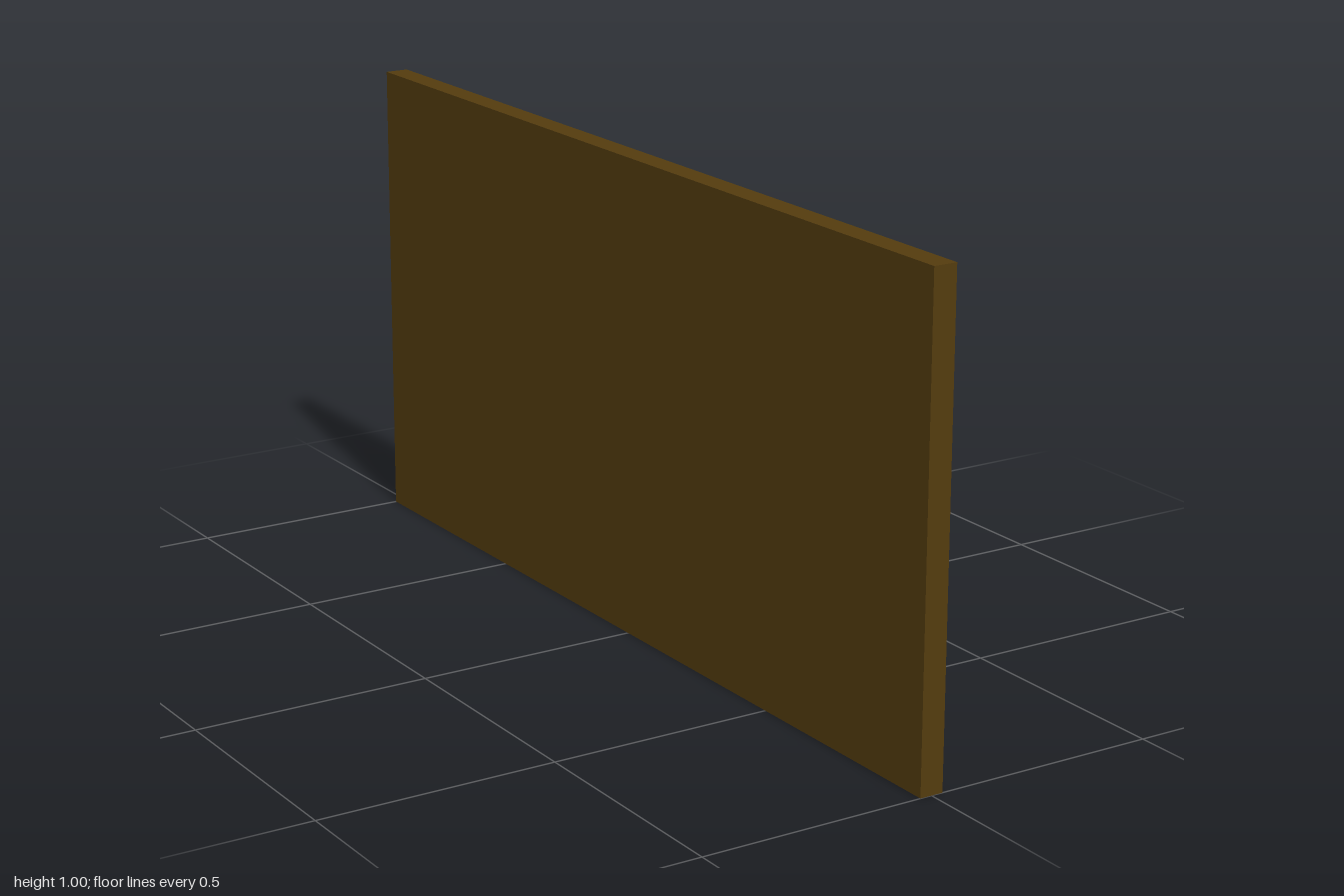
import * as THREE from 'three';

const LENGTH = 2, HEIGHT = 1, THICK = 0.05, RECESS = 0.0125, BORDER = 0.05, CUT = 0.04;

function polygon(Type, points) {
  return new Type(points.map(([a, b]) => new THREE.Vector2(a, b)));
}

export function createModel() {
  const model = new THREE.Group();
  model.name = 'bracedPanel';
  const wood = new THREE.MeshStandardMaterial({ color: 0x543c0e });
  wood.name = 'darkWood';

  // Plain board, flat on its -x side
  const board = new THREE.Mesh(new THREE.BoxGeometry(THICK - RECESS, HEIGHT, LENGTH), wood);
  board.name = 'backBoard';
  board.position.set(-RECESS / 2, HEIGHT / 2, 0);
  model.add(board);

  // Raised border and diagonal brace: a rectangle with two triangular openings
  const w = LENGTH / 2, h = HEIGHT / 2, iw = w - BORDER, ih = h - BORDER;
  const outline = polygon(THREE.Shape, [[-w, -h], [w, -h], [w, h], [-w, h]]);
  for (const s of [1, -1]) {
    outline.holes.push(polygon(THREE.Path, [
      [s * iw, s * ih],
      [s * iw, s * (-ih + CUT)],
      [s * (-iw + CUT), s * ih],
    ]));
  }
  const frameGeometry = new THREE.ExtrudeGeometry(outline, { depth: RECESS, bevelEnabled: false });
  frameGeometry.rotateY(Math.PI / 2);
  const frame = new THREE.Mesh(frameGeometry, wood);
  frame.name = 'frameAndBrace';
  frame.position.set(THICK / 2 - RECESS, h, 0);
  model.add(frame);

  return model;
}
